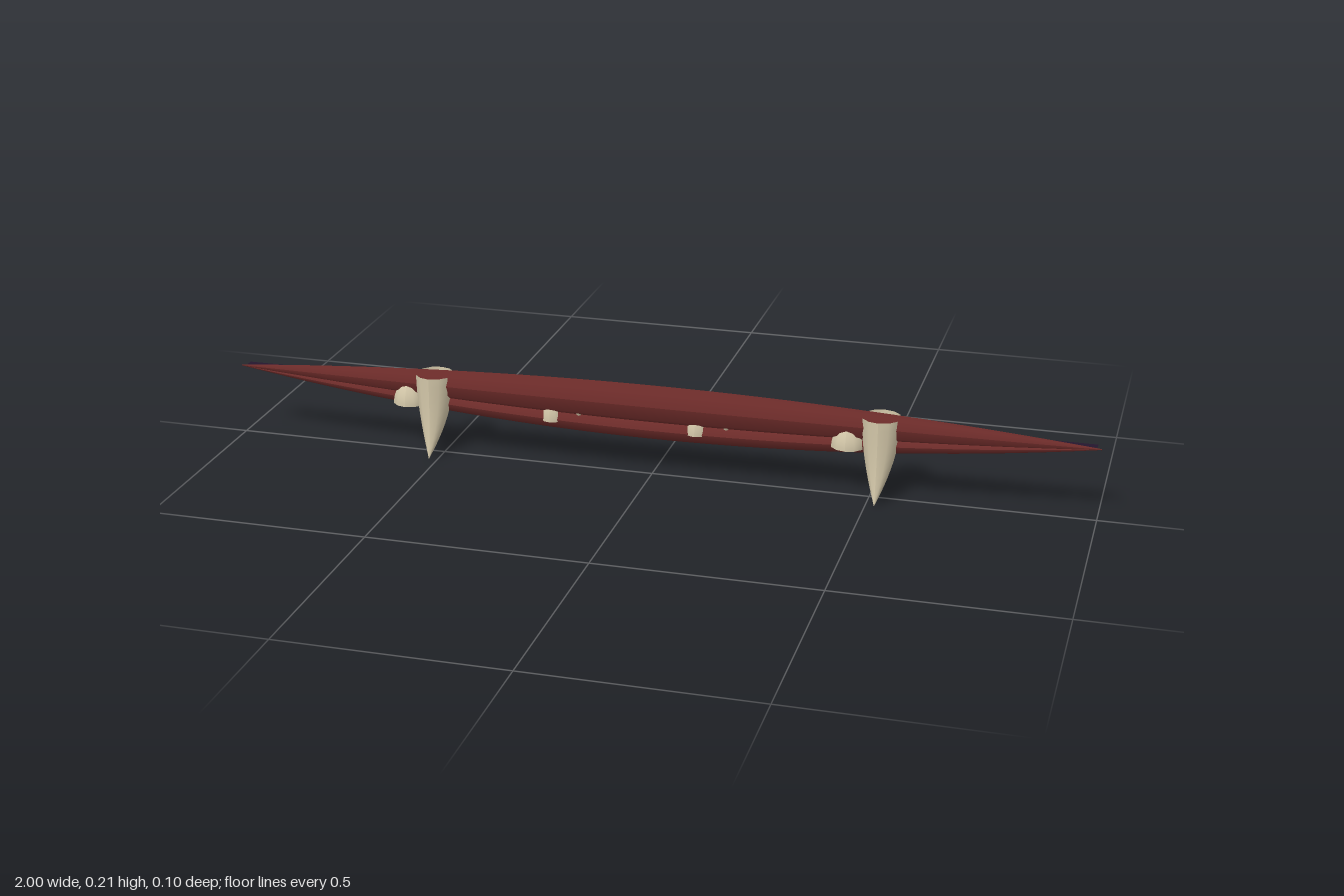
import * as THREE from 'three';

const lipMat = new THREE.MeshStandardMaterial({ color: 0x6e2c2a, side: THREE.DoubleSide });
const toothMat = new THREE.MeshStandardMaterial({ color: 0xd2c6a8, side: THREE.DoubleSide });
const mouthMat = new THREE.MeshStandardMaterial({ color: 0x24162e });

const TIP_Y = 0.166;

// Spindle along x: an elliptical section that tapers to both mouth corners
function makeLip(name, { y, z, ry, rz }) {
  const geo = new THREE.CylinderGeometry(1, 1, 2, 8, 32);
  geo.rotateZ(Math.PI / 2);
  const p = geo.attributes.position;
  for (let i = 0; i < p.count; i++) {
    const x = p.getX(i);
    const swell = 1 - x * x;
    const taper = 0.03 + 0.97 * swell;
    p.setXYZ(i, x,
      TIP_Y + (y - TIP_Y) * swell + p.getY(i) * ry * taper,
      z * swell + p.getZ(i) * rz * taper);
  }
  geo.computeVertexNormals();
  const mesh = new THREE.Mesh(geo, lipMat);
  mesh.name = name;
  return mesh;
}

// Hollow tooth: rounded taper from an open root to a point, curving in z
function makeTooth(name, { x, y, z, radius, length, bend, up = false }) {
  const geo = new THREE.CylinderGeometry(1, 1, 1, 12, 10, true);
  const p = geo.attributes.position;
  for (let i = 0; i < p.count; i++) {
    const t = 0.5 - p.getY(i);
    const r = radius * Math.max(1 - t * t, 0.001);
    p.setXYZ(i, p.getX(i) * r, -t * length, p.getZ(i) * r + bend * Math.pow(t, 2.2));
  }
  geo.computeVertexNormals();
  const mesh = new THREE.Mesh(geo, toothMat);
  mesh.name = name;
  if (up) mesh.rotation.z = Math.PI;
  mesh.position.set(x, y, z);
  return mesh;
}

// Dark crescent filling the gap between the lips
function makeMouthInterior() {
  const shape = new THREE.Shape();
  shape.moveTo(-0.99, TIP_Y);
  shape.lineTo(0.99, TIP_Y);
  shape.quadraticCurveTo(0, TIP_Y - 0.116, -0.99, TIP_Y);
  const geo = new THREE.ExtrudeGeometry(shape, { depth: 0.018, bevelEnabled: false, curveSegments: 32 });
  const mesh = new THREE.Mesh(geo, mouthMat);
  mesh.position.z = -0.027;
  mesh.name = 'mouthInterior';
  return mesh;
}

export function createModel() {
  const model = new THREE.Group();
  model.name = 'fangedMouth';

  model.add(
    makeLip('upperLip', { y: 0.169, z: 0, ry: 0.045, rz: 0.023 }),
    makeLip('lowerLip', { y: 0.108, z: -0.012, ry: 0.028, rz: 0.022 }),
    makeMouthInterior(),
  );

  // Upper row: large outer fangs, small inner teeth
  for (const side of [-1, 1]) {
    model.add(
      makeTooth('upperFang', { x: side * 0.52, y: 0.19, z: -0.007, radius: 0.044, length: 0.19, bend: 0.059 }),
      makeTooth('upperTooth', { x: side * 0.172, y: 0.182, z: -0.009, radius: 0.028, length: 0.065, bend: 0.01 }),
    );
  }

  // Lower row: shifted sideways, pointing up
  const shift = -0.068;
  for (const side of [-1, 1]) {
    model.add(
      makeTooth('lowerFang', { x: side * 0.515 + shift, y: 0.113, z: -0.011, radius: 0.04, length: 0.07, bend: 0.006, up: true }),
      makeTooth('lowerTooth', { x: side * 0.17 + shift, y: 0.106, z: -0.011, radius: 0.027, length: 0.06, bend: 0.006, up: true }),
    );
  }
  return model;
}
